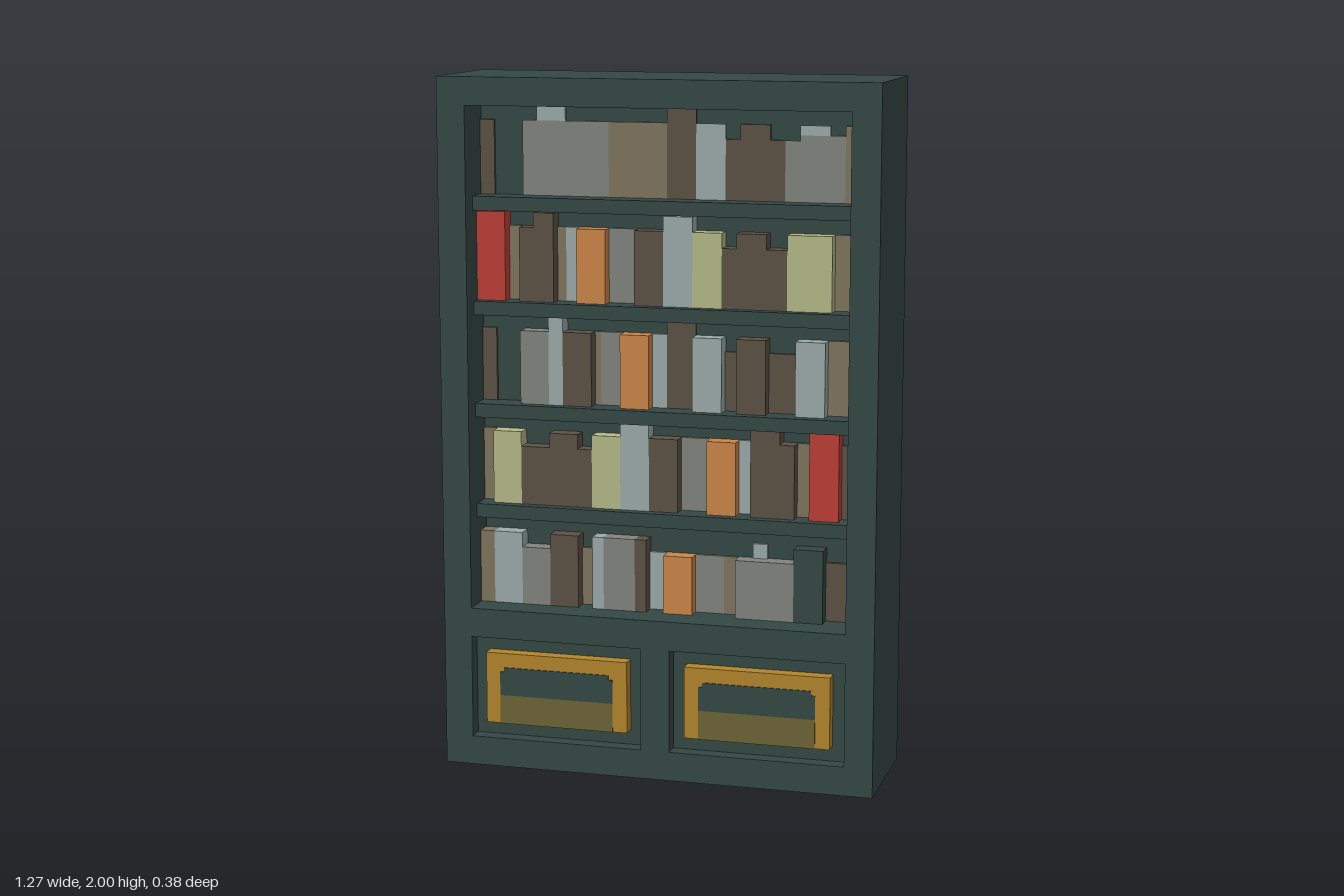
import * as THREE from 'three';

const mat = (name, color) => {
  const m = new THREE.MeshStandardMaterial({ color });
  m.name = name;
  return m;
};

const M = {
  dark: mat('dark green wood', 0x344845),
  brown: mat('brown cover', 0x5c5145),
  tan: mat('tan cover', 0x80745f),
  grey: mat('grey cover', 0x82857e),
  blue: mat('pale blue cover', 0x9bacaa),
  lime: mat('pale yellow cover', 0xb4ba88),
  orange: mat('orange cover', 0xcc8648),
  red: mat('red cover', 0xbd3f36),
  gold: mat('gold', 0xb4862b),
  olive: mat('shaded gold', 0x6e6538),
};

const W = 0.635, D = 0.19, H = 2;
const U = 0.0425;                     // grid cell; 26 cells span the opening
const BACK = 0.05;                    // back of the shelf recess
const DRAWER = 0.145;                 // back of the drawer recesses
const X = (cell) => (cell - 13) * U;

function box(group, name, material, x0, x1, y0, y1, z0, z1) {
  const mesh = new THREE.Mesh(new THREE.BoxGeometry(x1 - x0, y1 - y0, z1 - z0), material);
  mesh.position.set((x0 + x1) / 2, (y0 + y1) / 2, (z0 + z1) / 2);
  mesh.name = name;
  group.add(mesh);
  return mesh;
}

function rectPath(Type, x0, x1, y0, y1) {
  return new Type([[x0, y0], [x1, y0], [x1, y1], [x0, y1]].map(([x, y]) => new THREE.Vector2(x, y)));
}

// One row of books: [first cell, last cell, height in cells, colour, stands forward]
function bookRow(parent, y, books) {
  const row = new THREE.Group();
  row.name = 'bookRow';
  for (const [a, b, h, colour, forward] of books) {
    box(row, colour + 'Book', M[colour], X(a), X(b), y, y + h * U, BACK, forward ? 0.1 : BACK + 0.009);
  }
  parent.add(row);
}

function drawer(side) {
  const g = new THREE.Group();
  g.name = side > 0 ? 'leftDrawer' : 'rightDrawer';
  box(g, 'drawerPanel', M.dark, X(14), X(26), 0.085, 0.385, BACK, DRAWER);
  box(g, 'drawerFront', M.gold, X(15), X(25), 0.13, 0.34, DRAWER, 0.185);
  box(g, 'lowerPanel', M.olive, X(16), X(24), 0.13, 0.215, 0.184, 0.188);
  // Slot with stepped upper corners
  const a = X(16), b = X(24), s = 0.012;
  const slot = new THREE.Shape([
    [a, 0.215], [b, 0.215], [b, 0.285], [b - s, 0.285], [b - s, 0.298], [a + s, 0.298], [a + s, 0.285], [a, 0.285],
  ].map(([x, y]) => new THREE.Vector2(x, y)));
  const mesh = new THREE.Mesh(new THREE.ExtrudeGeometry(slot, { depth: 0.004, bevelEnabled: false }), M.dark);
  mesh.position.z = 0.184;
  mesh.name = 'drawerSlot';
  g.add(mesh);
  if (side < 0) g.position.x = X(0) - X(14);
  return g;
}

export function createModel() {
  const root = new THREE.Group();
  root.name = 'bookcase';

  // Carcass: solid back and a front frame with three openings
  box(root, 'caseBack', M.dark, -W, W, 0, H, -D, BACK);
  const face = rectPath(THREE.Shape, -W, W, 0, H);
  face.holes.push(
    rectPath(THREE.Path, X(0), X(26), 0.47, 1.92),
    rectPath(THREE.Path, X(0), X(12), 0.085, 0.385),
    rectPath(THREE.Path, X(14), X(26), 0.085, 0.385),
  );
  const frame = new THREE.Mesh(new THREE.ExtrudeGeometry(face, { depth: D - BACK, bevelEnabled: false }), M.dark);
  frame.position.z = BACK;
  frame.name = 'caseFrame';
  root.add(frame);

  // Shelves
  const tops = [1.66, 1.36, 1.063, 0.768];
  for (const y of tops) box(root, 'shelf', M.dark, X(0), X(26), y - 0.04, y, BACK, 0.13);

  // Drawers
  root.add(drawer(1), drawer(-1));

  // Books, from the top shelf down
  bookRow(root, tops[0], [
    [0, 1, 5, 'brown', 0], [3, 4, 5, 'grey', 0], [4, 6, 5, 'grey', 0], [6, 9, 5, 'grey', 0],
    [9, 13, 5, 'tan', 0], [13, 15, 6, 'brown', 0], [15, 17, 5, 'blue', 0],
    [17, 18, 4, 'brown', 0], [18, 20, 5, 'brown', 0], [20, 21, 4, 'brown', 0],
    [21, 25, 4, 'grey', 0], [25, 26, 5, 'tan', 0],
  ]);
  // Pale and grey tops showing above the first row
  box(root, 'bookTop', M.blue, X(4), X(6), 1.8725, 1.915, BACK, 0.059);
  box(root, 'bookTop', M.blue, X(22), X(24), 1.845, 1.8725, BACK, 0.059);
  box(root, 'bookTop', M.grey, X(22), X(25), 1.83, 1.845, BACK, 0.059);

  bookRow(root, tops[1], [
    [0, 2, 6, 'red', 1], [2, 3, 5, 'tan', 0], [3, 4, 5, 'brown', 1], [4, 5.4, 6, 'brown', 1],
    [5.4, 6, 5, 'tan', 0], [6, 7, 5, 'blue', 0], [7, 9, 5, 'orange', 1], [9, 11, 5, 'grey', 0],
    [11, 13, 5, 'brown', 1], [13, 15, 6, 'blue', 1], [15, 17, 5, 'lime', 1],
    [17, 18, 4, 'brown', 1], [18, 20, 5, 'brown', 1], [20, 21.4, 4, 'brown', 1],
    [21.4, 24.4, 5, 'lime', 1], [24.4, 26, 5, 'tan', 0],
  ]);
  bookRow(root, tops[2], [
    [0, 1, 5, 'brown', 0], [3, 5, 5, 'grey', 1], [5, 6, 6, 'blue', 1], [6, 8, 5, 'brown', 1],
    [8, 8.4, 5, 'tan', 0], [8.4, 10, 5, 'grey', 0], [10, 12, 5, 'orange', 1],
    [12, 13, 5, 'blue', 0], [13, 15, 6, 'brown', 0], [15, 17, 5, 'blue', 1],
    [17, 18, 4, 'brown', 0], [18, 20, 5, 'brown', 1], [20, 22, 4, 'brown', 0],
    [22, 24, 5, 'blue', 1], [24, 26, 5, 'tan', 0],
  ]);
  bookRow(root, tops[3], [
    [0, 1, 5, 'tan', 0], [1, 3, 5, 'lime', 1], [3, 5, 4, 'brown', 1], [5, 7, 5, 'brown', 1],
    [7, 8, 4, 'brown', 1], [8, 10, 5, 'lime', 1], [10, 12, 6, 'blue', 1], [12, 14, 5, 'brown', 1],
    [14, 16, 5, 'grey', 0], [16, 18, 5, 'orange', 1], [18, 19, 5, 'blue', 0],
    [19, 21, 6, 'brown', 1], [21, 22, 5, 'brown', 1], [22, 23, 5, 'tan', 0],
    [23, 25, 6, 'red', 1], [25, 26, 5, 'brown', 0],
  ]);
  bookRow(root, 0.47, [
    [0, 1, 5, 'tan', 1], [1, 3, 5, 'blue', 1], [3, 5, 4, 'grey', 1], [5, 7, 5, 'brown', 1],
    [7, 8, 4, 'tan', 0], [8, 8.8, 5, 'blue', 1], [8.8, 11, 5, 'grey', 1], [11, 11.8, 5, 'brown', 1],
    [11.8, 13, 4, 'blue', 0], [13, 15, 4, 'orange', 1], [15, 17, 4, 'grey', 0],
    [17, 18, 4, 'tan', 0], [18, 22, 4, 'grey', 1], [19, 20, 5, 'blue', 0],
    [22, 24, 5, 'dark', 1], [24, 26, 4, 'brown', 0],
  ]);
  return root;
}
